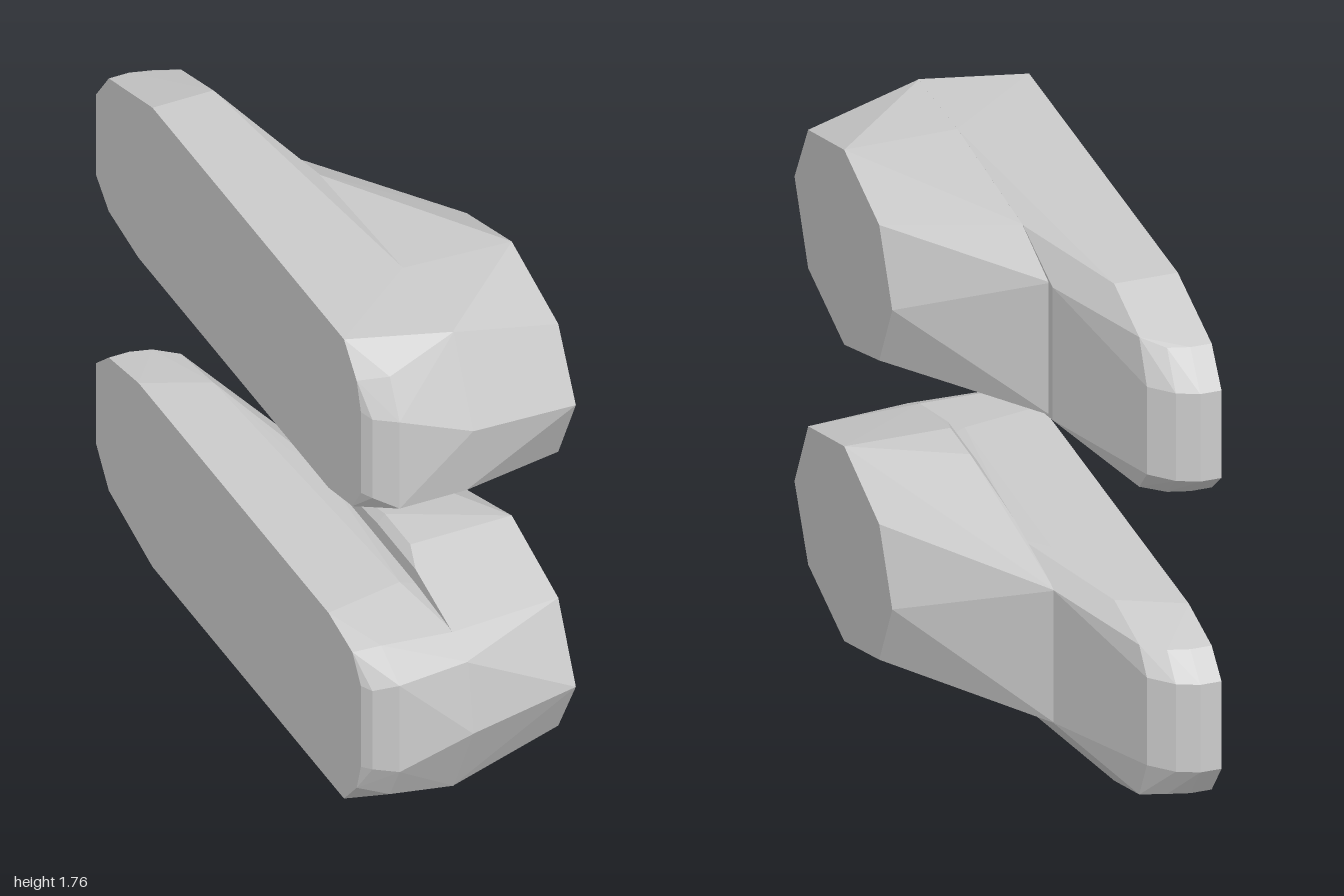
import * as THREE from 'three';
import { ConvexGeometry } from 'three/addons/geometries/ConvexGeometry.js';

const MIRROR_Y = 1.76; // lower block is the upper one reflected: y -> 1.76 - y

// Cross-sections along x, each a list of [z, y] corners
const plateSections = (innerBottom) => [
  // flat outer face
  [-0.35, [[0.76, 1.76], [-0.6, 1.76], [-0.91, 1.67], [-1, 1.55], [-1, 1.24], [-0.91, 1.16],
    [-0.7, 1.12], [0.65, 1.12], [0.82, 1.16], [0.88, 1.25], [0.88, 1.56], [0.85, 1.66]]],
  // rounded nose and tail
  [-0.33, [[0.92, 1.55], [0.92, 1.25]]],
  [-0.28, [[-1, 1.55], [-1, 1.24], [-0.91, 1.67], [-0.91, 1.16]]],
  [-0.26, [[0.97, 1.55], [0.97, 1.22], [0.9, 1.68], [0.84, 1.15]]],
  [-0.21, [[-0.97, 1.55], [-0.97, 1.24], [-0.89, 1.67], [-0.89, 1.16]]],
  [-0.14, [[-0.6, 1.76], [-0.83, 1.69], [-0.9, 1.55], [-0.9, 1.24], [-0.83, 1.16], [-0.6, 1.12]]],
  [-0.08, [[0.6, 1.12], [-0.2, 1.13]]],
  // seam with the boss
  [-0.02, [[0.86, 1.75], [0.5, 1.76], [-0.1, 1.73], [-0.37, 1.65], [-0.37, 1.18],
    [-0.1, innerBottom], [0.6, innerBottom], [0.86, 1.16], [0.96, 1.21], [1, 1.46]]],
];

const bossSections = (backZ) => [
  [-0.025, [[0.86, 1.75], [0.5, 1.76], [-0.1, 1.73], [backZ, 1.65], [backZ, 1.18],
    [0, 1.12], [0.33, 1.09], [0.6, 1.09], [0.86, 1.16], [0.96, 1.21], [1, 1.46]]],
  [0, [[0.33, 1.06], [0.51, 1.06]]],
  // octagonal end face
  [0.35, [[0.51, 1.75], [0.19, 1.65], [0.07, 1.41], [0.19, 1.17],
    [0.51, 1.06], [0.84, 1.16], [0.965, 1.42], [0.84, 1.65]]],
];

function hull(name, sections, flipped, material) {
  const points = sections.flatMap(([x, corners]) =>
    corners.map(([z, y]) => new THREE.Vector3(x, flipped ? MIRROR_Y - y : y, z)));
  const mesh = new THREE.Mesh(new ConvexGeometry(points), material);
  mesh.name = name;
  return mesh;
}

export function createModel() {
  const model = new THREE.Group();
  model.name = 'pairedBlocks';
  const material = new THREE.MeshStandardMaterial({ color: 0xcccccc, flatShading: true });

  for (const flipped of [false, true]) {
    const block = new THREE.Group();
    block.name = flipped ? 'lowerBlock' : 'upperBlock';
    block.add(
      hull('sidePlate', plateSections(flipped ? 1.145 : 1.125), flipped, material),
      hull('octagonalBoss', bossSections(flipped ? -0.38 : -0.34), flipped, material),
    );
    model.add(block);
  }
  return model;
}
